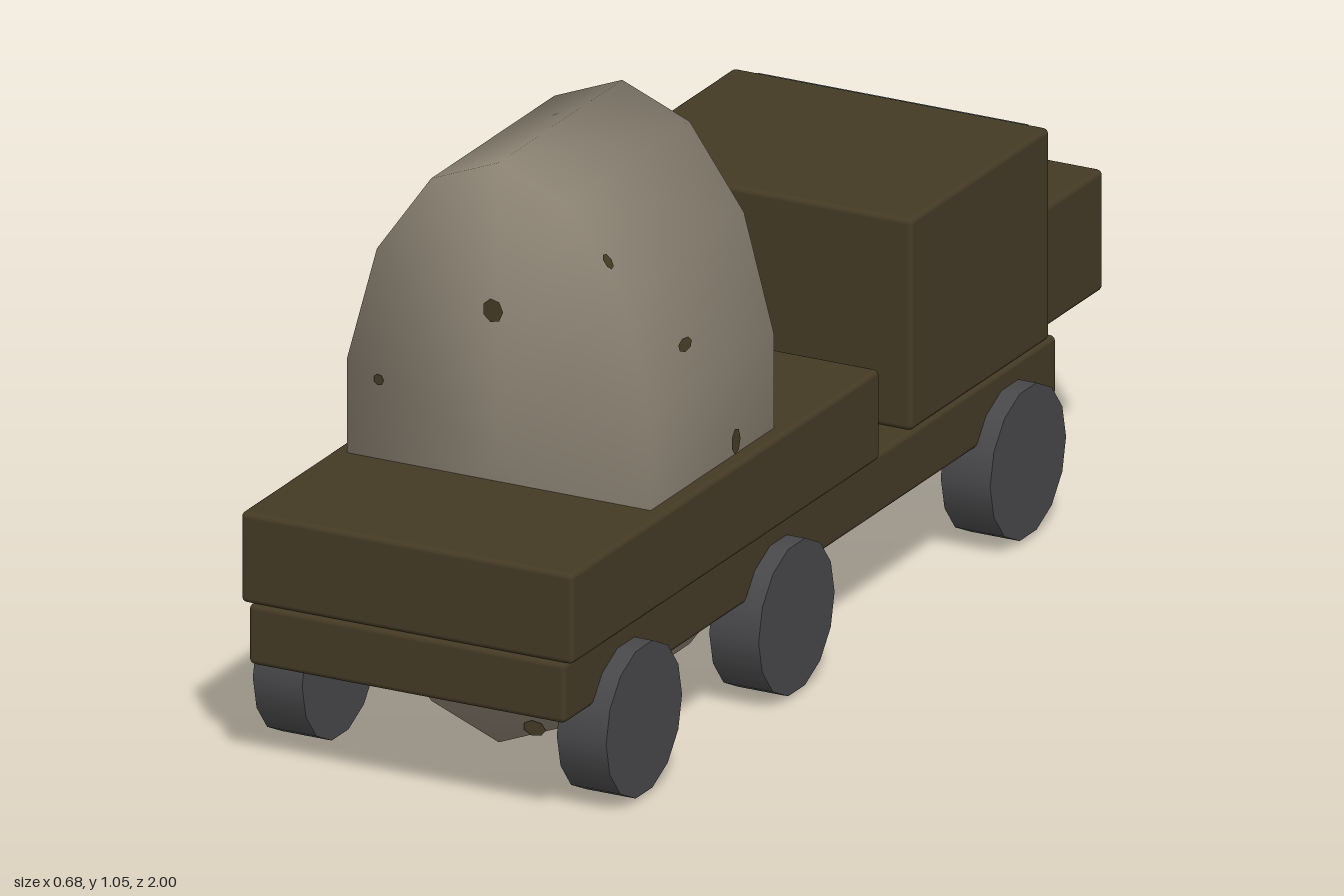
import * as THREE from 'three';
import { mergeVertices } from 'three/addons/utils/BufferGeometryUtils.js';
import { RoundedBoxGeometry } from 'three/addons/geometries/RoundedBoxGeometry.js';

const material = (name, color) => {
  const m = new THREE.MeshStandardMaterial({ color });
  m.name = name;
  return m;
};

export function createModel() {
  const truck = new THREE.Group();
  truck.name = 'tankTruck';
  const paint = material('olive brown paint', 0x443a25);
  const tankMetal = material('weathered tank', 0x8a8172);
  const rubber = material('dark rubber', 0x48484a);
  const glass = material('blue grey glass', 0x56636f);

  const add = (name, geometry, mat) => {
    const mesh = new THREE.Mesh(geometry, mat);
    mesh.name = name;
    truck.add(mesh);
    return mesh;
  };

  // Body boxes, given by half width, y range and z range; the cab points to -z
  const box = (name, halfX, y0, y1, z0, z1) => {
    const g = new RoundedBoxGeometry(halfX * 2, y1 - y0, z1 - z0, 2, 0.01);
    add(name, g, paint).position.set(0, (y0 + y1) / 2, (z0 + z1) / 2);
  };
  box('chassis', 0.305, 0.2, 0.31, -0.775, 1);
  box('bed', 0.32, 0.31, 0.475, -0.11, 1);
  box('cab', 0.305, 0.31, 0.695, -0.75, -0.25);
  box('hood', 0.275, 0.31, 0.53, -1, -0.74);

  // Windshield plate above the hood
  add('windshield', new THREE.BoxGeometry(0.52, 0.16, 0.009), glass).position.set(0, 0.61, -0.752);

  // Six wheels
  const wheelShape = new THREE.CylinderGeometry(0.137, 0.137, 0.095, 14).rotateZ(Math.PI / 2);
  for (const z of [-0.605, 0.23, 0.78])
    for (const side of [-1, 1])
      add('wheel', wheelShape, rubber).position.set(side * 0.2925, 0.142, z);

  // Elliptical tank through the bed, with shading blended over its rims
  const sides = 14, rx = 0.3, ry = 0.527, cy = 0.528, z0 = 0.222, z1 = 0.667;
  let tank = new THREE.CylinderGeometry(1, 1, z1 - z0, sides).rotateX(Math.PI / 2).scale(rx, ry, 1);
  tank.deleteAttribute('normal');
  tank.deleteAttribute('uv');
  tank = mergeVertices(tank);
  tank.computeVertexNormals();
  add('tank', tank, tankMetal).position.set(0, cy, (z0 + z1) / 2);

  // Rust patches: thin ragged spots lying on the tank
  const patch = (position, normal, w, h) => {
    const spot = add('rustPatch', new THREE.CircleGeometry(1, 7), paint);
    spot.scale.set(w, h, 1);
    spot.position.copy(position).addScaledVector(normal, 0.003);
    spot.lookAt(spot.position.clone().add(normal));
  };
  const endPatches = [
    [-0.01, 0.785, 1, 0.02, 0.022], [-0.23, 0.62, 1, 0.01, 0.01], [0.07, 0.04, 1, 0.022, 0.014],
    [-0.09, 0.65, -1, 0.02, 0.045], [-0.1, 0.94, -1, 0.012, 0.01], [-0.18, 0.9, -1, 0.01, 0.015],
  ];
  for (const [x, y, dir, w, h] of endPatches)
    patch(new THREE.Vector3(x, y, dir > 0 ? z1 : z0), new THREE.Vector3(0, 0, dir), w, h);

  // Patches on the left flank sit on the facet found at their height
  const step = (Math.PI * 2) / sides;
  const rim = (i) => new THREE.Vector2(rx * Math.sin(i * step), cy + ry * Math.cos(i * step));
  const flankPatches = [[0.905, 0.652, 0.012, 0.015], [0.72, 0.51, 0.024, 0.012],
    [0.5, 0.365, 0.016, 0.024], [0.18, 0.545, 0.018, 0.016]];
  for (const [y, z, w, h] of flankPatches) {
    const i = Math.floor(Math.acos((y - cy) / ry) / step);
    const a = rim(i), b = rim(i + 1);
    const x = THREE.MathUtils.mapLinear(y, a.y, b.y, a.x, b.x);
    patch(new THREE.Vector3(x, y, z), new THREE.Vector3(a.y - b.y, b.x - a.x, 0).normalize(), w, h);
  }
  return truck;
}
